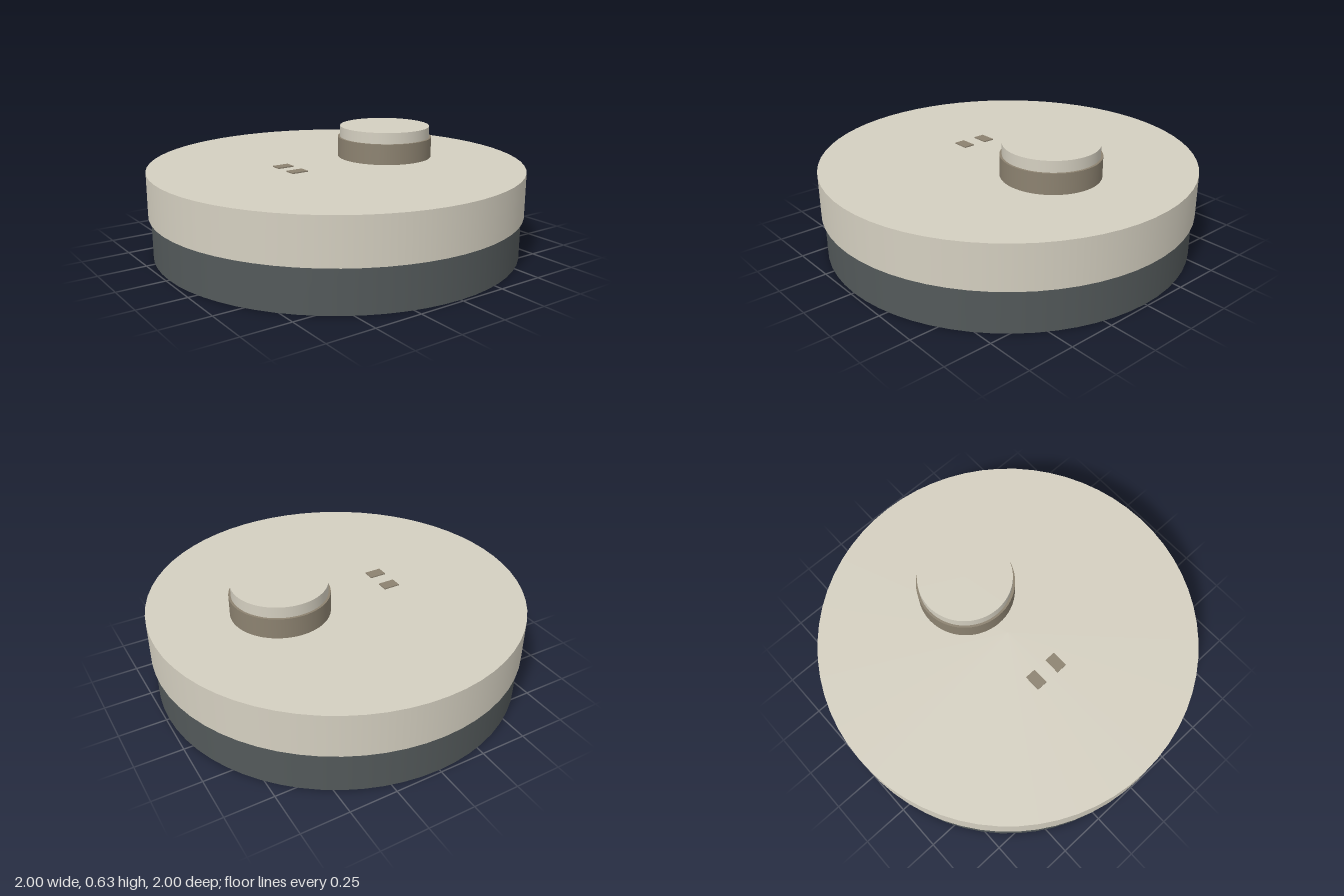
import * as THREE from 'three';

export function createModel() {
  const model = new THREE.Group();
  model.name = 'roundSensor';

  const material = (name, color) => {
    const m = new THREE.MeshStandardMaterial({ color });
    m.name = name;
    return m;
  };
  const ivory = material('ivory', 0xd4cfc0);
  const charcoal = material('charcoal', 0x53595a);
  const taupe = material('taupe', 0x8c8270);

  const add = (name, geometry, mat, x, y, z) => {
    const mesh = new THREE.Mesh(geometry, mat);
    mesh.name = name;
    mesh.position.set(x, y, z);
    model.add(mesh);
  };
  // Upright disc from height y0 to y1
  const disc = (name, radius, y0, y1, z, mat) =>
    add(name, new THREE.CylinderGeometry(radius, radius, y1 - y0, 64), mat, 0, (y0 + y1) / 2, z);

  // Body: dark base under a slightly wider cover
  disc('base', 0.985, 0, 0.222, 0, charcoal);
  disc('cover', 1, 0.222, 0.457, 0, ivory);

  // Raised button with its collar
  disc('buttonCollar', 0.26, 0.457, 0.567, -0.33, taupe);
  disc('buttonCap', 0.248, 0.567, 0.627, -0.33, ivory);

  // Pair of small contact plates
  for (const side of [-1, 1]) {
    add(side > 0 ? 'leftContact' : 'rightContact',
      new THREE.BoxGeometry(0.06, 0.008, 0.09), taupe, side * 0.069, 0.459, 0.291);
  }
  return model;
}
